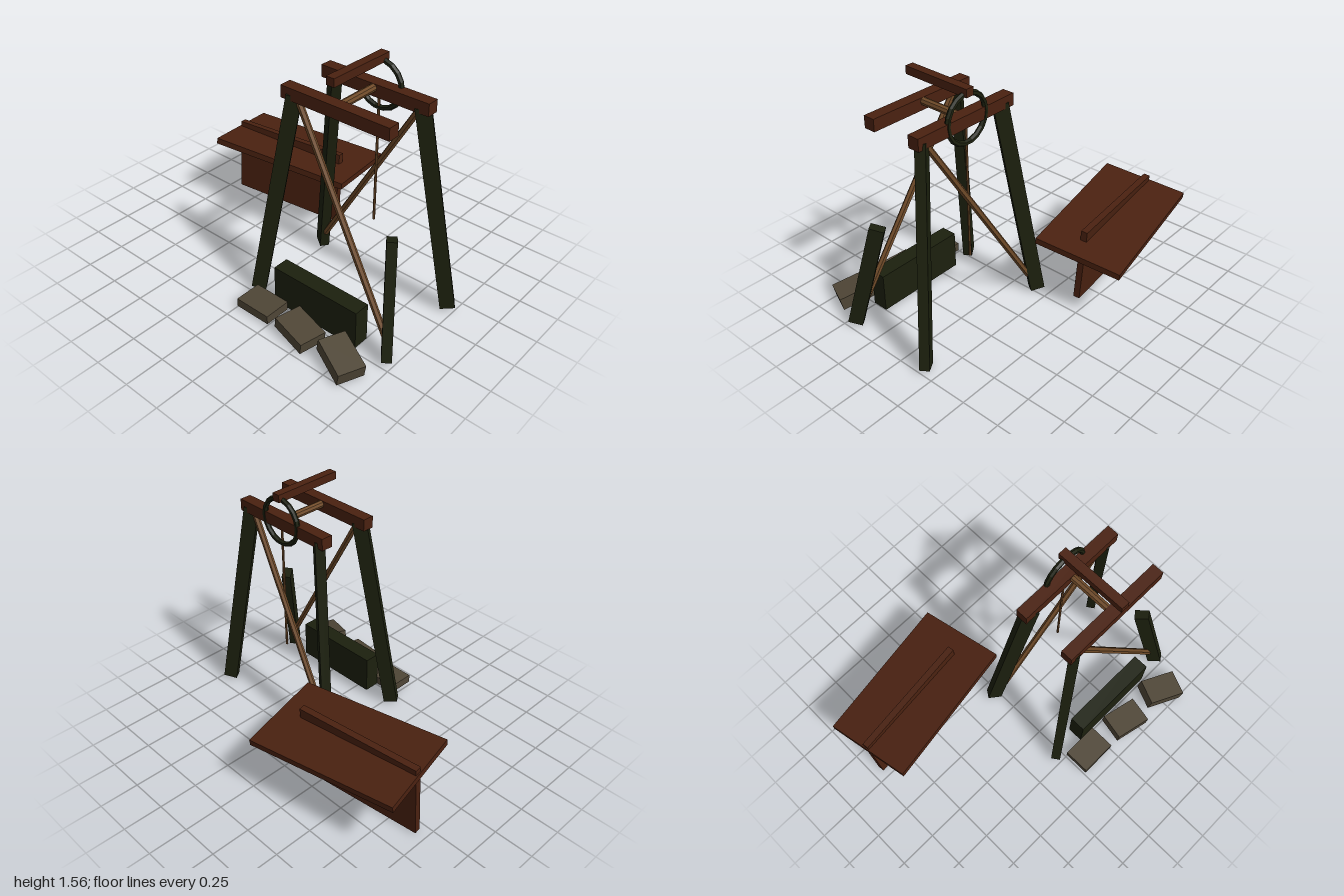
import * as THREE from 'three';

export function createModel() {
  const root = new THREE.Group();
  root.name = 'ruinedWell';

  const mat = (name, color) => {
    const m = new THREE.MeshStandardMaterial({ color });
    m.name = name;
    return m;
  };
  const moss = mat('dark mossy timber', 0x1c200e);
  const rust = mat('red brown timber', 0x4a2110);
  const pale = mat('pale wood', 0x6f4a28);
  const stone = mat('grey brown stone', 0x4f4636);

  const add = (name, geo, material, pos, rot = [0, 0, 0]) => {
    const mesh = new THREE.Mesh(geo, material);
    mesh.name = name;
    mesh.position.set(...pos);
    mesh.rotation.set(rot[0], rot[1], rot[2], 'YXZ');
    root.add(mesh);
    return mesh;
  };
  const box = (name, size, material, pos, rot) =>
    add(name, new THREE.BoxGeometry(...size), material, pos, rot);

  // Places a geometry of unit height between two points, its x axis kept level
  const strut = (name, geo, material, from, to) => {
    const a = new THREE.Vector3(...from), b = new THREE.Vector3(...to);
    const y = b.clone().sub(a);
    const length = y.length();
    y.normalize();
    const x = new THREE.Vector3(y.z, 0, -y.x);
    if (x.lengthSq() < 1e-6) x.set(1, 0, 0);
    x.normalize();
    const z = new THREE.Vector3().crossVectors(x, y);
    const mesh = add(name, geo, material, a.add(b).multiplyScalar(0.5).toArray());
    mesh.quaternion.setFromRotationMatrix(new THREE.Matrix4().makeBasis(x, y, z));
    mesh.scale.y = length;
  };
  const pole = (r, sides) => {
    const g = new THREE.CylinderGeometry(r, r, 1, sides).toNonIndexed();
    g.computeVertexNormals();
    return g;
  };

  // Splayed legs, the front left one snapped to a stump
  const legGeo = new THREE.BoxGeometry(0.06, 1, 0.09);
  strut('backLegRight', legGeo, moss, [-0.03, 0.03, -0.16], [0.16, 1.36, -0.03]);
  strut('backLegLeft', legGeo, moss, [0.95, 0.03, -0.16], [0.76, 1.36, -0.03]);
  strut('frontLegRight', legGeo, moss, [-0.03, 0.03, 0.44], [0.16, 1.36, 0.31]);
  strut('brokenLegStump', legGeo, moss, [0.95, 0.035, 0.445], [0.84, 0.72, 0.298]);

  // Crossbeams, axle and top bar
  for (const [name, z] of [['frontBeam', 0.307], ['backBeam', -0.031]])
    box(name, [0.73, 0.076, 0.076], rust, [0.455, 1.37, z]);
  strut('axle', pole(0.024, 8), pale, [0.457, 1.384, -0.03], [0.457, 1.384, 0.305]);
  box('topBar', [0.054, 0.05, 0.46], rust, [0.457, 1.549, 0.14], [-0.012, 0, 0]);

  // Wheel and hanging rope
  const ring = new THREE.TorusGeometry(0.145, 0.017, 6, 18).toNonIndexed();
  ring.computeVertexNormals();
  add('wheel', ring, moss, [0.455, 1.385, -0.058]);
  strut('rope', pole(0.008, 6), pale, [0.457, 0.49, -0.052], [0.457, 1.4, -0.052]);

  // Diagonal braces
  const braceGeo = pole(0.02, 6);
  strut('frontBrace', braceGeo, pale, [0.91, 0.15, 0.41], [0.19, 1.33, 0.31]);
  strut('backBrace', braceGeo, pale, [0.02, 0.14, -0.13], [0.735, 1.33, -0.03]);

  // Trough block and fallen stones
  box('troughBlock', [0.615, 0.25, 0.105], moss, [0.457, 0.16, 0.438]);
  box('stone1', [0.245, 0.055, 0.175], stone, [0.133, 0.058, 0.583]);
  box('stone2', [0.245, 0.07, 0.175], stone, [0.457, 0.072, 0.612], [0, -0.2, -0.12]);
  box('stone3', [0.25, 0.085, 0.17], stone, [0.783, 0.082, 0.638], [0, -0.4, -0.22]);

  // Collapsed roof: a tilted slab resting on an upright panel
  box('roofSlab', [0.98, 0.04, 0.565], rust, [-0.465, 0.455, -0.417], [-0.11, 0.176, -0.045]);
  box('uprightPanel', [0.825, 0.51, 0.042], rust, [-0.53, 0.275, -0.383], [-0.07, 0.116, 0]);

  return root;
}
